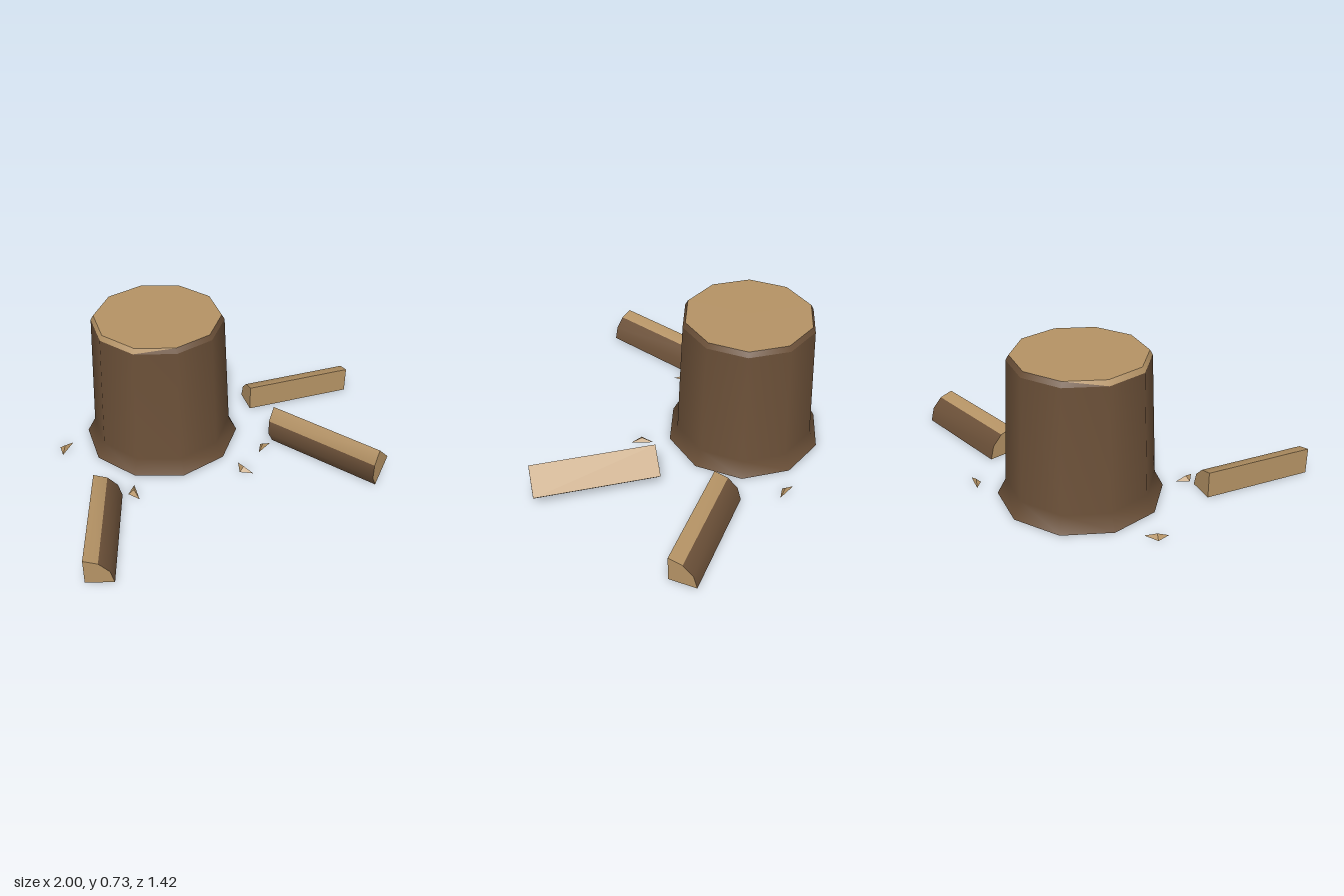
import * as THREE from 'three';
import { toCreasedNormals } from 'three/addons/utils/BufferGeometryUtils.js';
import { ConvexGeometry } from 'three/addons/geometries/ConvexGeometry.js';

const SIDES = 10;
const RIM_Y = 0.7, TOP_Y = 0.725, RIM_R = 0.336, TOP_R = 0.322, BASE_R = 0.405;

export function createModel() {
  const bark = new THREE.MeshStandardMaterial({ color: 0x6b5038 });
  bark.name = 'bark brown';
  const wood = new THREE.MeshStandardMaterial({ color: 0xb59365 });
  wood.name = 'cut wood';

  const model = new THREE.Group();
  model.name = 'stumpWithFirewood';

  const add = (parent, name, geometry, material) => {
    const mesh = new THREE.Mesh(geometry, material);
    mesh.name = name;
    parent.add(mesh);
    return mesh;
  };

  // Stump: flared trunk, cut top, underside
  const stump = new THREE.Group();
  stump.name = 'stump';
  stump.position.set(-0.105, 0, -0.325);
  model.add(stump);
  const profile = [[BASE_R, 0], [0.363, 0.08], [RIM_R, RIM_Y]].map(([r, y]) => new THREE.Vector2(r, y));
  add(stump, 'trunk', new THREE.LatheGeometry(profile, SIDES, Math.PI / 2), bark);
  const cutTop = new THREE.CircleGeometry(TOP_R, SIDES).rotateX(-Math.PI / 2).translate(0, TOP_Y, 0);
  add(stump, 'cutTop', cutTop, wood);
  add(stump, 'underside', new THREE.CircleGeometry(BASE_R, SIDES).rotateX(Math.PI / 2), bark);

  // Bevelled rim: bark all round, with the bark chipped away on the -x side
  const ring = (r, y) => (i) => {
    const a = (i / SIDES) * Math.PI * 2;
    return [r * Math.cos(a), y, r * Math.sin(a)];
  };
  const low = ring(RIM_R, RIM_Y), high = ring(TOP_R, TOP_Y);
  const barkRim = [], chippedRim = [];
  for (let i = 0; i < SIDES; i++) {
    const chipped = i === 4 || i === 5;
    // The split diagonal tapers the chip at each end
    if (i === 6) {
      (chippedRim).push(low(i), high(i), high(i + 1));
      barkRim.push(low(i), high(i + 1), low(i + 1));
    } else {
      const upper = chipped || i === 3 ? chippedRim : barkRim;
      const lower = chipped ? chippedRim : barkRim;
      upper.push(high(i), high(i + 1), low(i + 1));
      lower.push(low(i), high(i), low(i + 1));
    }
  }
  const rimGeometry = (points) => {
    const g = new THREE.BufferGeometry();
    const normals = points.map(([x, , z]) => new THREE.Vector3(x, 0.18, z).normalize().toArray());
    g.setAttribute('position', new THREE.Float32BufferAttribute(points.flat(), 3));
    g.setAttribute('normal', new THREE.Float32BufferAttribute(normals.flat(), 3));
    return g;
  };
  add(stump, 'barkRim', rimGeometry(barkRim), bark);
  add(stump, 'chippedRim', rimGeometry(chippedRim), wood);

  // Split logs: quarter-round prisms whose inner edge runs from start to end
  const splitLog = (name, [x0, z0], [x1, z1], y, radius, tilt) => {
    const shape = new THREE.Shape();
    shape.moveTo(0, 0);
    for (let i = 0; i <= 3; i++) {
      const a = tilt + (i * Math.PI) / 6;
      shape.lineTo(radius * Math.cos(a), radius * Math.sin(a));
    }
    shape.closePath();
    const depth = Math.hypot(x1 - x0, z1 - z0);
    const geometry = toCreasedNormals(
      new THREE.ExtrudeGeometry(shape, { depth, bevelEnabled: false }), 0.7);
    // End caps and flat sides are wood, the three curved sides are bark
    geometry.clearGroups();
    geometry.addGroup(0, 18, 0);
    geometry.addGroup(18, 18, 1);
    geometry.addGroup(36, 12, 0);
    const log = add(model, name, geometry, [wood, bark]);
    log.position.set(x0, y, z0);
    log.rotation.y = Math.atan2(x1 - x0, z1 - z0);
  };
  splitLog('rightLog', [-0.672, -0.08], [-1, 0.387], 0, 0.135, 0);
  splitLog('leftLog', [0.4, -0.188], [0.957, -0.005], 0, 0.14, 0);
  splitLog('frontLog', [0.613, 0.66], [0.424, 0.072], 0.111, 0.157, -Math.PI / 4);

  // Wood chips scattered on the ground: three base corners and a low peak
  const chips = [
    [[-0.63, -0.52], [-0.555, -0.515], [-0.65, -0.455]],
    [[0.335, -0.58], [0.42, -0.515], [0.355, -0.525]],
    [[-0.475, -0.03], [-0.535, 0.01], [-0.51, 0.075]],
    [[0.055, 0.145], [0.015, 0.21], [0.065, 0.26]],
    [[0.195, 0.145], [0.245, 0.095], [0.29, 0.12]],
  ];
  chips.forEach((corners, i) => {
    const points = corners.map(([x, z]) => new THREE.Vector3(x, 0, z));
    const peak = new THREE.Vector3();
    points.forEach((p) => peak.addScaledVector(p, 1 / 3));
    peak.y = 0.02;
    add(model, `woodChip${i + 1}`, new ConvexGeometry([...points, peak]), wood);
  });

  return model;
}
